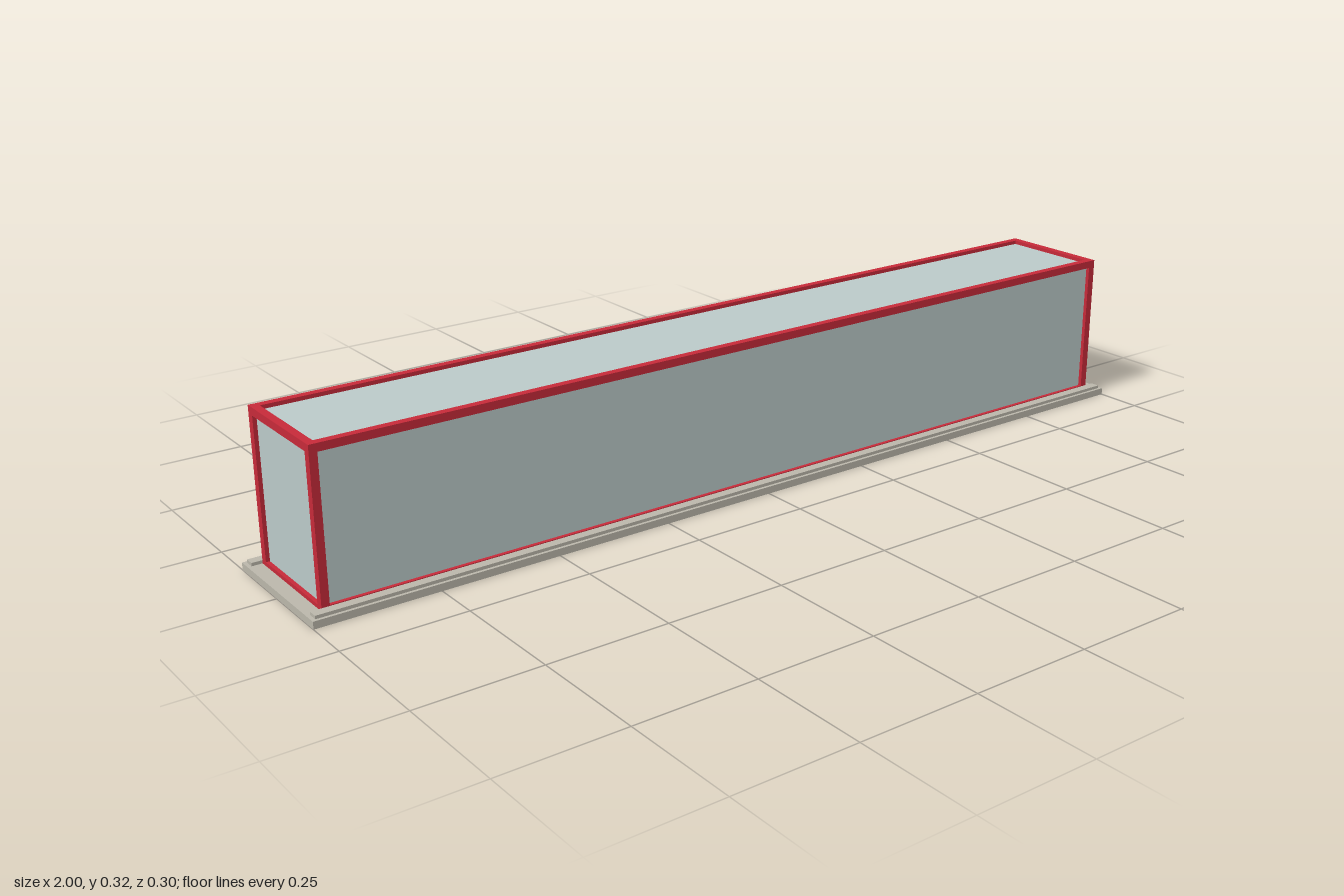
import * as THREE from 'three';

const mat = (name, color) => Object.assign(new THREE.MeshStandardMaterial({ color }), { name });

export function createModel() {
  const model = new THREE.Group();
  model.name = 'glazedHall';
  const stone = mat('warm grey stone', 0xbab6aa);
  const red = mat('red frame', 0xc62a39);
  const glass = mat('pale glass', 0xbac9c8);

  // Box given by its size, centre x and z, and underside y
  const box = (parent, name, material, [w, h, d], [x, y, z]) => {
    const mesh = new THREE.Mesh(new THREE.BoxGeometry(w, h, d), material);
    mesh.name = name;
    mesh.position.set(x, y + h / 2, z);
    parent.add(mesh);
  };

  // Plinth with a raised kerb along each long side
  box(model, 'plinth', stone, [2, 0.015, 0.302], [0, 0, 0]);
  for (const s of [1, -1]) {
    box(model, 'kerb', stone, [1.985, 0.0065, 0.02], [0, 0.015, s * 0.1345]);
  }

  // Frame of square bars along all twelve edges
  const X = 0.971, Z = 0.1245, bottom = 0.007, top = 0.325, bar = 0.016;
  const cx = X - bar / 2, cz = Z - bar / 2;
  const frame = new THREE.Group();
  frame.name = 'frame';
  model.add(frame);
  for (const y of [bottom, top - bar]) {
    for (const s of [1, -1]) {
      box(frame, 'longRail', red, [2 * X, bar, bar], [0, y, s * cz]);
      box(frame, 'endRail', red, [bar, bar, 2 * (Z - bar)], [s * cx, y, 0]);
    }
  }
  for (const sx of [1, -1]) for (const sz of [1, -1]) {
    box(frame, 'cornerPost', red, [bar, top - bottom - 2 * bar, bar], [sx * cx, bottom + bar, sz * cz]);
  }

  // Glazing set back to the middle of the bars
  box(model, 'glazing', glass, [2 * cx, top - bar / 2 - 0.015, 2 * cz], [0, 0.015, 0]);
  return model;
}
